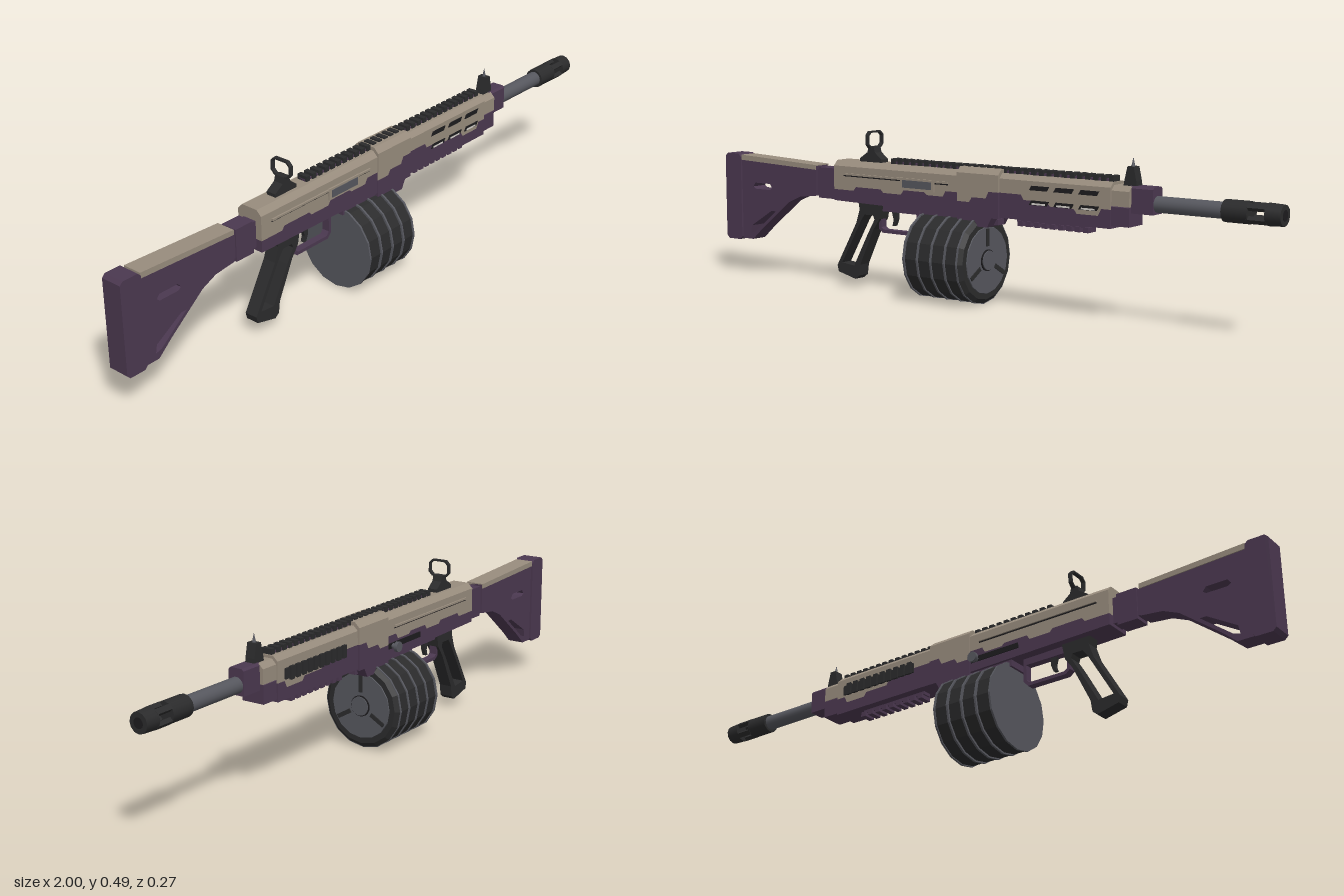
import * as THREE from 'three';

const mat = (name, color) => Object.assign(new THREE.MeshStandardMaterial({ color }), { name });

export function createModel() {
  const model = new THREE.Group();
  model.name = 'drumFedRifle';
  const purple = mat('purple', 0x4b3850), tan = mat('tan', 0x988c7d), black = mat('black', 0x2b2b2c);
  const grey = mat('grey', 0x56575e), dark = mat('darkRecess', 0x1d1c1e), pale = mat('paleInset', 0xd6d2cc);

  const add = (name, geo, material, parent = model) => {
    const m = new THREE.Mesh(geo, material);
    m.name = name;
    parent.add(m);
    return m;
  };
  const box = (name, material, x0, x1, y0, y1, z0, z1) => {
    const g = new THREE.BoxGeometry(x1 - x0, y1 - y0, z1 - z0);
    g.translate((x0 + x1) / 2, (y0 + y1) / 2, (z0 + z1) / 2);
    return add(name, g, material);
  };
  const path = (pts, C) => {
    const s = new C();
    pts.forEach(([x, y], i) => (i ? s.lineTo(x, y) : s.moveTo(x, y)));
    s.closePath();
    return s;
  };
  const extrude = (pts, depth, holes = []) => {
    const s = path(pts, THREE.Shape);
    s.holes = holes.map(h => path(h, THREE.Path));
    const g = new THREE.ExtrudeGeometry(s, { depth, bevelEnabled: false });
    return g.translate(0, 0, -depth / 2);
  };
  // side profile in x, y with half width in z
  const slab = (name, material, pts, half, holes) => add(name, extrude(pts, half * 2, holes), material);
  // cross-section in z, y swept from x0 to x1
  const sweep = (name, material, pts, x0, x1, holes) => {
    const g = extrude(pts, x1 - x0, holes);
    g.rotateY(Math.PI / 2).translate((x0 + x1) / 2, 0, 0);
    return add(name, g, material);
  };
  // cylinder along x
  const rod = (name, material, x0, x1, y, r0, r1 = r0, n = 16, open = false) => {
    const g = new THREE.CylinderGeometry(r1, r0, x1 - x0, n, 1, open).toNonIndexed();
    if (n <= 16 && r0 > 0.05) g.computeVertexNormals();
    g.rotateZ(-Math.PI / 2).translate((x0 + x1) / 2, y, 0);
    return add(name, g, material);
  };
  const cap = (name, material, x0, x1, y0, y1, half, c) =>
    sweep(name, material, [[-half, y0], [half, y0], [half, y1 - c], [half - c, y1], [c - half, y1], [-half, y1 - c]], x0, x1);

  // stock
  slab('stock', purple, [[-0.94, 0.115], [-0.885, 0.115], [-0.84, 0.155], [-0.72, 0.25], [-0.67, 0.272],
    [-0.6, 0.28], [-0.6, 0.375], [-0.94, 0.385]], 0.027,
    [[[-0.88, 0.29], [-0.87, 0.303], [-0.805, 0.303], [-0.795, 0.29], [-0.805, 0.283], [-0.87, 0.283]],
     [[-0.895, 0.135], [-0.875, 0.14], [-0.78, 0.215], [-0.8, 0.215], [-0.89, 0.16]]]);
  slab('buttPlate', purple, [[-1, 0.12], [-0.99, 0.11], [-0.94, 0.11], [-0.93, 0.12], [-0.93, 0.385],
    [-0.94, 0.395], [-0.99, 0.395], [-1, 0.385]], 0.033);
  slab('cheekRest', tan, [[-0.93, 0.375], [-0.6, 0.363], [-0.6, 0.378], [-0.93, 0.392]], 0.03);
  box('stockNeck', purple, -0.61, -0.5, 0.285, 0.365, -0.022, 0.022);
  box('stockCollar', purple, -0.59, -0.525, 0.275, 0.372, -0.026, 0.026);

  // receiver, with a stepped colour edge
  const edge = [[-0.51, 0.31], [-0.43, 0.31], [-0.42, 0.322], [-0.32, 0.322], [-0.31, 0.312], [-0.24, 0.312],
    [-0.23, 0.326], [-0.15, 0.326], [-0.14, 0.318], [-0.08, 0.318], [-0.07, 0.335], [-0.025, 0.335]];
  slab('receiverLower', purple, [[-0.51, 0.275], [-0.025, 0.268], ...[...edge].reverse()], 0.043);
  slab('receiverUpper', tan, [...edge, [-0.025, 0.37], [-0.51, 0.37]], 0.043);
  cap('receiverTop', tan, -0.51, -0.025, 0.37, 0.4, 0.043, 0.016);
  for (const s of [-1, 1]) {
    box('receiverLedge', tan, -0.47, -0.06, 0.357, 0.363, s * 0.045 - 0.003, s * 0.045 + 0.003);
    box('receiverGroove', dark, -0.47, -0.06, 0.353, 0.357, s * 0.043 - 0.001, s * 0.043 + 0.001);
  }
  box('ejectionFrame', tan, -0.24, -0.11, 0.329, 0.364, 0.042, 0.048);
  box('ejectionPort', grey, -0.23, -0.12, 0.335, 0.358, 0.046, 0.05);
  box('handleSlot', dark, -0.2, -0.03, 0.295, 0.312, -0.0455, -0.042);
  for (const [r, z, h] of [[0.008, -0.05, 0.02], [0.016, -0.063, 0.011]]) {
    const g = new THREE.CylinderGeometry(r, r, h, 12).rotateX(Math.PI / 2).translate(-0.05, 0.302, z);
    add('chargingHandle', g, grey);
  }

  // centre block and magazine well
  slab('centreLower', purple, [[-0.025, 0.25], [0.0, 0.24], [0.085, 0.24], [0.1, 0.268], [0.125, 0.268],
    [0.125, 0.345], [0.09, 0.345], [0.08, 0.325], [0.03, 0.325], [0.02, 0.31], [-0.025, 0.31]], 0.046);
  slab('centreUpper', tan, [[-0.025, 0.31], [0.02, 0.31], [0.03, 0.325], [0.08, 0.325], [0.09, 0.345],
    [0.125, 0.345], [0.125, 0.38], [-0.025, 0.38]], 0.046);
  cap('centreTop', tan, -0.025, 0.125, 0.38, 0.411, 0.046, 0.016);
  box('magazineWell', purple, -0.17, -0.02, 0.25, 0.275, -0.035, 0.035);
  box('wellLatch', purple, 0.08, 0.103, 0.245, 0.262, -0.015, 0.015);

  // handguard
  const step = [[0.125, 0.345], [0.2, 0.345], [0.21, 0.33], [0.29, 0.33], [0.3, 0.318], [0.38, 0.318],
    [0.39, 0.305], [0.46, 0.305], [0.47, 0.325], [0.5, 0.325]];
  slab('handguardLower', purple, [[0.125, 0.272], [0.5, 0.272], ...[...step].reverse()], 0.04);
  slab('handguardUpper', tan, [...step, [0.5, 0.37], [0.125, 0.37]], 0.04);
  cap('handguardTop', tan, 0.125, 0.5, 0.37, 0.4, 0.04, 0.014);
  for (let i = 0; i < 3; i++) {
    const x = 0.23 + i * 0.083;
    for (const y of [0.36, 0.318]) {
      slab('ventSlot', dark, [[x, y], [x + 0.06, y], [x + 0.068, y + 0.013], [x + 0.008, y + 0.013]], 0.0025).position.z = 0.04;
    }
    box('ventInset', pale, x + 0.01, x + 0.055, 0.319, 0.324, 0.041, 0.0435);
  }
  cap('noseLower', purple, 0.5, 0.557, 0.28, 0.335, 0.036, 0.002);
  cap('noseUpper', tan, 0.5, 0.557, 0.335, 0.392, 0.036, 0.014);
  cap('gasBlock', purple, 0.55, 0.625, 0.318, 0.393, 0.025, 0.006);

  // rails
  box('topRailBase', purple, -0.3, 0.49, 0.395, 0.407, -0.012, 0.012);
  for (let x = -0.3; x < 0.485; x += 0.026) box('topRailTooth', black, x, x + 0.015, 0.4, 0.416, -0.017, 0.017);
  box('lowerRailBase', purple, 0.17, 0.41, 0.262, 0.275, -0.014, 0.014);
  for (let x = 0.175; x < 0.4; x += 0.028) box('lowerRailTooth', purple, x, x + 0.017, 0.25, 0.265, -0.02, 0.02);
  box('sideRailBase', black, 0.19, 0.47, 0.33, 0.36, -0.046, -0.038);
  for (let x = 0.195; x < 0.46; x += 0.027) box('sideRailTooth', black, x, x + 0.016, 0.326, 0.364, -0.051, -0.044);

  // barrel and slotted muzzle
  rod('barrel', grey, 0.62, 0.86, 0.346, 0.023, 0.023, 20);
  rod('muzzleCollar', black, 0.83, 0.905, 0.346, 0.031, 0.031, 12);
  for (let i = 0; i < 4; i++) {
    const g = new THREE.BoxGeometry(0.056, 0.016, 0.013).translate(0, 0, 0.024);
    g.rotateX(Math.PI / 4 + i * Math.PI / 2).translate(0.93, 0.346, 0);
    add('muzzleBar', g, black);
  }
  rod('muzzleTip', black, 0.955, 1, 0.346, 0.031, 0.029, 12);
  rod('bore', dark, 0.998, 1.001, 0.346, 0.015, 0.015, 16);

  // drum magazine
  const cy = 0.135;
  rod('drumCore', black, -0.16, 0.04, cy, 0.126);
  for (let i = 0; i < 4; i++) rod('drumBand', black, -0.155 + i * 0.05, -0.115 + i * 0.05, cy, 0.13);
  for (const x of [-0.163, -0.112, -0.062, -0.012, 0.034]) rod('drumRib', grey, x, x + 0.006, cy, 0.133);
  rod('drumRim', black, 0.04, 0.05, cy, 0.131, 0.118);
  rod('drumFace', grey, 0.045, 0.053, cy, 0.102, 0.1);
  rod('hubRing', dark, 0.05, 0.057, cy, 0.032, 0.032, 20);
  rod('hub', grey, 0.05, 0.06, cy, 0.029, 0.029, 20);
  for (let i = 0; i < 3; i++) {
    const g = new THREE.BoxGeometry(0.008, 0.052, 0.013).translate(0, 0.068, 0);
    g.rotateX(i * Math.PI * 2 / 3).translate(0.052, cy, 0);
    add('drumSpoke', g, black);
  }

  // open grip, trigger and guard
  slab('grip', black, [[-0.425, 0.25], [-0.44, 0.205], [-0.52, 0.065], [-0.515, 0.045], [-0.445, 0.028],
    [-0.43, 0.04], [-0.425, 0.075], [-0.37, 0.19], [-0.345, 0.225], [-0.335, 0.275], [-0.43, 0.275]], 0.021,
    [[[-0.42, 0.215], [-0.405, 0.235], [-0.37, 0.235], [-0.365, 0.222], [-0.39, 0.18], [-0.45, 0.07], [-0.5, 0.075]]]);
  slab('triggerGuard', purple, [[-0.355, 0.275], [-0.355, 0.195], [-0.34, 0.183], [-0.21, 0.183], [-0.195, 0.2], [-0.195, 0.275]], 0.012,
    [[[-0.345, 0.25], [-0.345, 0.2], [-0.335, 0.193], [-0.215, 0.193], [-0.205, 0.204], [-0.205, 0.25]]]);
  slab('trigger', black, [[-0.31, 0.26], [-0.3, 0.225], [-0.305, 0.207], [-0.295, 0.207], [-0.287, 0.228], [-0.285, 0.26]], 0.006);

  // sights
  slab('rearSightBase', black, [[-0.425, 0.398], [-0.34, 0.398], [-0.34, 0.41], [-0.365, 0.43], [-0.37, 0.448], [-0.39, 0.448], [-0.395, 0.43], [-0.425, 0.41]], 0.016);
  const ring = (w, y0, y1, c) => [[-w, y0 + c], [c - w, y0], [w - c, y0], [w, y0 + c], [w, y1 - c], [w - c, y1], [c - w, y1], [-w, y1 - c]];
  sweep('rearSightRing', black, ring(0.036, 0.443, 0.496, 0.012), -0.386, -0.374, [ring(0.031, 0.448, 0.491, 0.01)]);
  slab('frontSightBase', black, [[0.525, 0.388], [0.568, 0.388], [0.566, 0.405], [0.557, 0.445], [0.537, 0.445], [0.528, 0.405]], 0.015);
  const blade = new THREE.ConeGeometry(0.006, 0.028, 8).translate(0.547, 0.457, 0);
  add('frontSightPost', blade, grey);
  return model;
}
